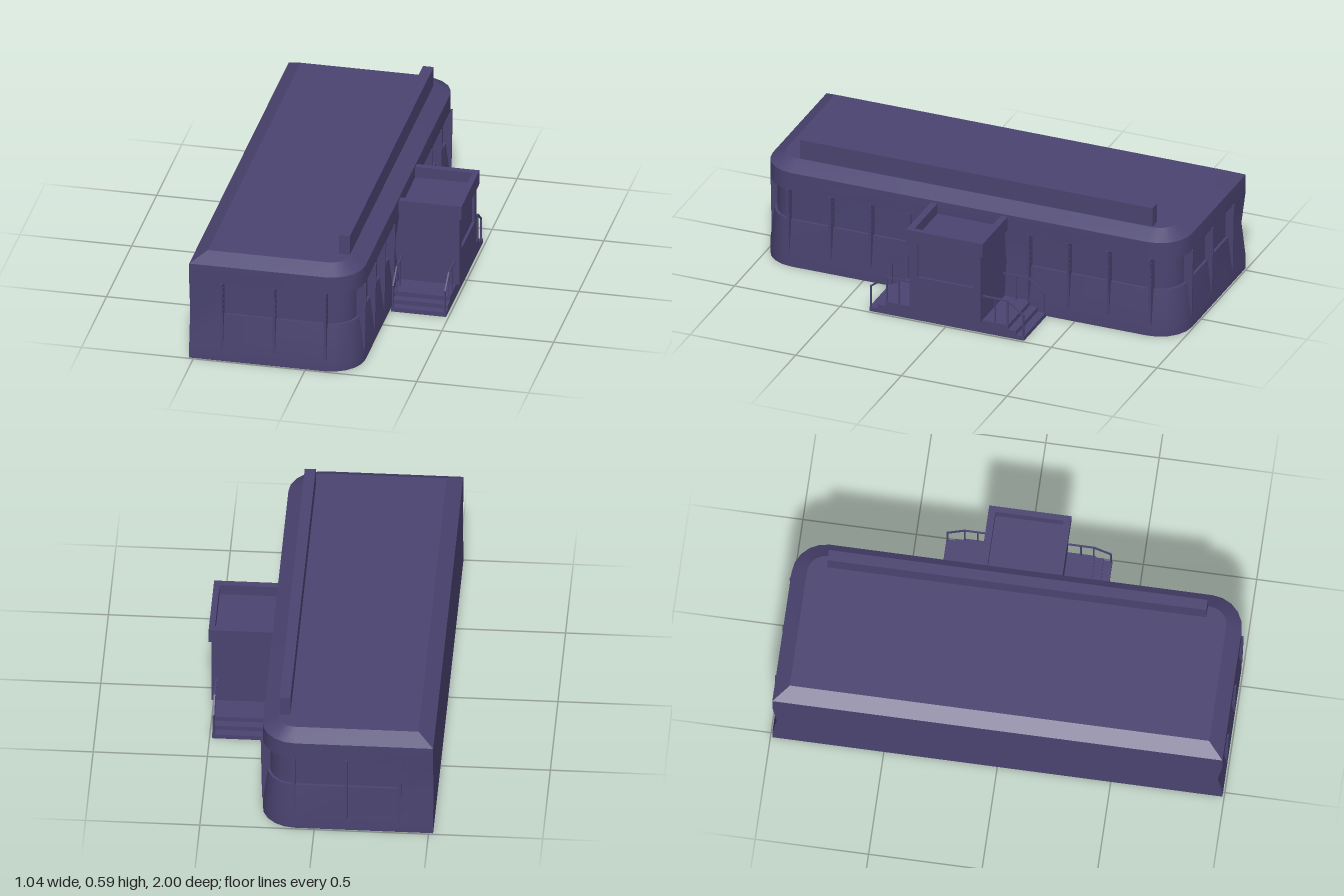
import * as THREE from 'three';
import { toCreasedNormals } from 'three/addons/utils/BufferGeometryUtils.js';

const material = new THREE.MeshStandardMaterial({ color: 0x4a4370, side: THREE.DoubleSide });
const XB = -0.52, XF = 0.235, ZE = 0.992, R = 0.15; // hall outline and corner radius

function add(parent, name, geometry) {
  const mesh = new THREE.Mesh(geometry, material);
  mesh.name = name;
  parent.add(mesh);
  return mesh;
}

// Box given by its limits
function box(parent, name, x0, x1, y0, y1, z0, z1) {
  const mesh = add(parent, name, new THREE.BoxGeometry(x1 - x0, y1 - y0, z1 - z0));
  mesh.position.set((x0 + x1) / 2, (y0 + y1) / 2, (z0 + z1) / 2);
  return mesh;
}

const shapeOf = pts => new THREE.Shape(pts.map(p => new THREE.Vector2(...p)));

// Half outline from the rear edge to the middle of the entrance wall; w = window recess
function halfOutline() {
  const pts = [
    { x: XB, z: ZE, nx: 0, nz: 1, w: 0, rx: -1 },
    { x: -0.37, z: ZE, nx: 0, nz: 1, w: 0 },
    { x: -0.37, z: ZE, nx: 0, nz: 1, w: 1 },
  ];
  for (let i = 0; i <= 5; i++) {
    const a = (Math.PI / 2) * (1 - i / 5), nx = Math.cos(a), nz = Math.sin(a);
    pts.push({ x: XF - R + R * nx, z: ZE - R + R * nz, nx, nz, w: 1 });
  }
  pts.push({ x: XF, z: 0.285, nx: 1, nz: 0, w: 1 }, { x: XF, z: 0.285, nx: 1, nz: 0, w: 0 });
  return pts;
}

// Pinched wall with recessed window band and bevelled roof, lofted over the outline
function hallGeometry() {
  const half = halfOutline();
  const ring = [...half, ...half.map(p => ({ ...p, z: -p.z, nz: -p.nz })).reverse()];
  // height, inset of plain wall, inset of window wall
  const rows = [[0, 0, 0], [0.06, 0, 0], [0.22, 0.02, 0.02], [0.22, 0.02, 0.032],
    [0.377, 0, 0.032], [0.377, 0, 0], [0.46, 0, 0], [0.5, 0.068, 0.068]];
  const n = ring.length, pos = [], index = [];
  rows.forEach(([y, plain, recess], r) => ring.forEach(p => {
    const d = p.w ? recess : plain;
    const nx = r === rows.length - 1 && p.rx ? p.rx : p.nx;
    pos.push(p.x - nx * d, y, p.z - p.nz * d);
  }));
  for (let r = 0; r < rows.length - 1; r++) {
    for (let i = 0; i < n; i++) {
      const j = (i + 1) % n, a = r * n + i, b = r * n + j;
      index.push(a, b, b + n, a, b + n, a + n);
    }
  }
  const base = pos.length / 3, top = (rows.length - 1) * n;
  pos.push(-0.14, 0, 0, -0.14, 0.5, 0);
  for (let i = 0; i < n; i++) {
    const j = (i + 1) % n;
    index.push(j, i, base, top + i, top + j, base + 1);
  }
  const g = new THREE.BufferGeometry();
  g.setAttribute('position', new THREE.Float32BufferAttribute(pos, 3));
  g.setIndex(index);
  return toCreasedNormals(g, 0.42);
}

// Tapered fin with a row of small holes; local x points out of the wall
function finGeometry() {
  const s = shapeOf([[0.002, 0.06], [0.008, 0.38], [-0.036, 0.38], [-0.036, 0.22], [-0.004, 0.06]]);
  for (let i = 0; i < 5; i++) {
    const hole = new THREE.Path();
    hole.absarc(-0.006, 0.25 + i * 0.027, 0.004, 0, Math.PI * 2, true);
    s.holes.push(hole);
  }
  const g = new THREE.ExtrudeGeometry(s, { depth: 0.011, bevelEnabled: false, curveSegments: 4 });
  return g.translate(0, 0, -0.0055);
}

// Thin bar between two points
function bar(parent, name, a, b, t = 0.007) {
  const from = new THREE.Vector3(...a), to = new THREE.Vector3(...b);
  const mesh = add(parent, name, new THREE.BoxGeometry(t, t, from.distanceTo(to) + t * 0.7));
  mesh.position.copy(from).add(to).multiplyScalar(0.5);
  mesh.lookAt(to);
}

export function createModel() {
  const model = new THREE.Group();
  model.name = 'diner';

  add(model, 'hall', hallGeometry());
  box(model, 'roofSignBoard', 0.115, 0.163, 0.495, 0.59, -0.838, 0.832);

  // Fins between the windows, mirrored to both ends
  const fins = new THREE.Group();
  fins.name = 'windowFins';
  model.add(fins);
  const fin = finGeometry();
  for (const s of [1, -1]) {
    for (const x of [-0.374, -0.141, 0.088]) {
      const f = add(fins, 'endFin', fin);
      f.position.set(x, 0, s * ZE);
      f.rotation.y = -s * Math.PI / 2;
    }
    for (const z of [0.857, 0.657, 0.468, 0.28]) {
      add(fins, 'sideFin', fin).position.set(XF, 0, s * z);
    }
  }

  // Entrance porch with a recessed window and an open parapet
  const porch = new THREE.Group();
  porch.name = 'porch';
  model.add(porch);
  box(porch, 'porchBody', 0.19, 0.493, 0.06, 0.4, -0.168, 0.168);
  const front = shapeOf([[-0.168, 0.06], [0.168, 0.06], [0.168, 0.4], [-0.168, 0.4]]);
  front.holes.push(shapeOf([[-0.132, 0.22], [-0.132, 0.385], [0.132, 0.385], [0.132, 0.22]]));
  const wall = add(porch, 'porchFrontWall',
    new THREE.ExtrudeGeometry(front, { depth: 0.012, bevelEnabled: false }));
  wall.rotation.y = Math.PI / 2;
  wall.position.x = 0.493;
  box(porch, 'parapetFront', 0.49, 0.516, 0.385, 0.45, -0.181, 0.181);
  for (const s of [1, -1]) {
    const z = [s * 0.181, s * 0.15].sort((a, b) => a - b);
    box(porch, 'parapetSide', 0.21, 0.49, 0.385, 0.45, ...z);
  }

  // Landing and steps on thin treads, open underneath
  const stairs = new THREE.Group();
  stairs.name = 'stairs';
  model.add(stairs);
  const stepEnds = [[0.06, 0.29], [0.04, 0.328], [0.02, 0.366]];
  box(stairs, 'landing', 0.22, 0.488, 0.05, 0.0605, -0.29, 0.29);
  const half = [[0, 0], [0.366, 0], [0.366, 0.02], [0.328, 0.02], [0.328, 0.04], [0.29, 0.04], [0.29, 0.06], [0, 0.06]];
  const mirrored = half.slice(1, -1).reverse().map(([z, y]) => [-z, y]);
  const profile = shapeOf([...half.slice(1, -1), ...mirrored]);
  for (const x of [0.243, 0.48]) {
    const g = new THREE.ExtrudeGeometry(profile, { depth: 0.009, bevelEnabled: false });
    const stringer = add(stairs, 'stringer', g);
    stringer.rotation.y = Math.PI / 2;
    stringer.position.x = x;
  }
  for (const s of [1, -1]) {
    stepEnds.forEach(([y, z], i) => {
      const riser = box(stairs, 'riser', 0.248, 0.485, y - 0.02, y, z - 0.006, z);
      riser.position.z *= s;
      if (i > 0) {
        const tread = box(stairs, 'tread', 0.248, 0.485, y - 0.006, y, z - 0.042, z);
        tread.position.z *= s;
      }
    });

    // Handrails on both edges of each flight
    for (const x of [0.25, 0.483]) {
      bar(stairs, 'handrailSlope', [x, 0.122, s * 0.36], [x, 0.178, s * 0.285]);
      bar(stairs, 'handrailLevel', [x, 0.178, s * 0.285], [x, 0.178, s * 0.17]);
      bar(stairs, 'railPost', [x, 0.02, s * 0.36], [x, 0.122, s * 0.36]);
      for (const z of [0.285, 0.228]) {
        bar(stairs, 'railPost', [x, 0.055, s * z], [x, 0.178, s * z], 0.006);
      }
    }
  }
  return model;
}
